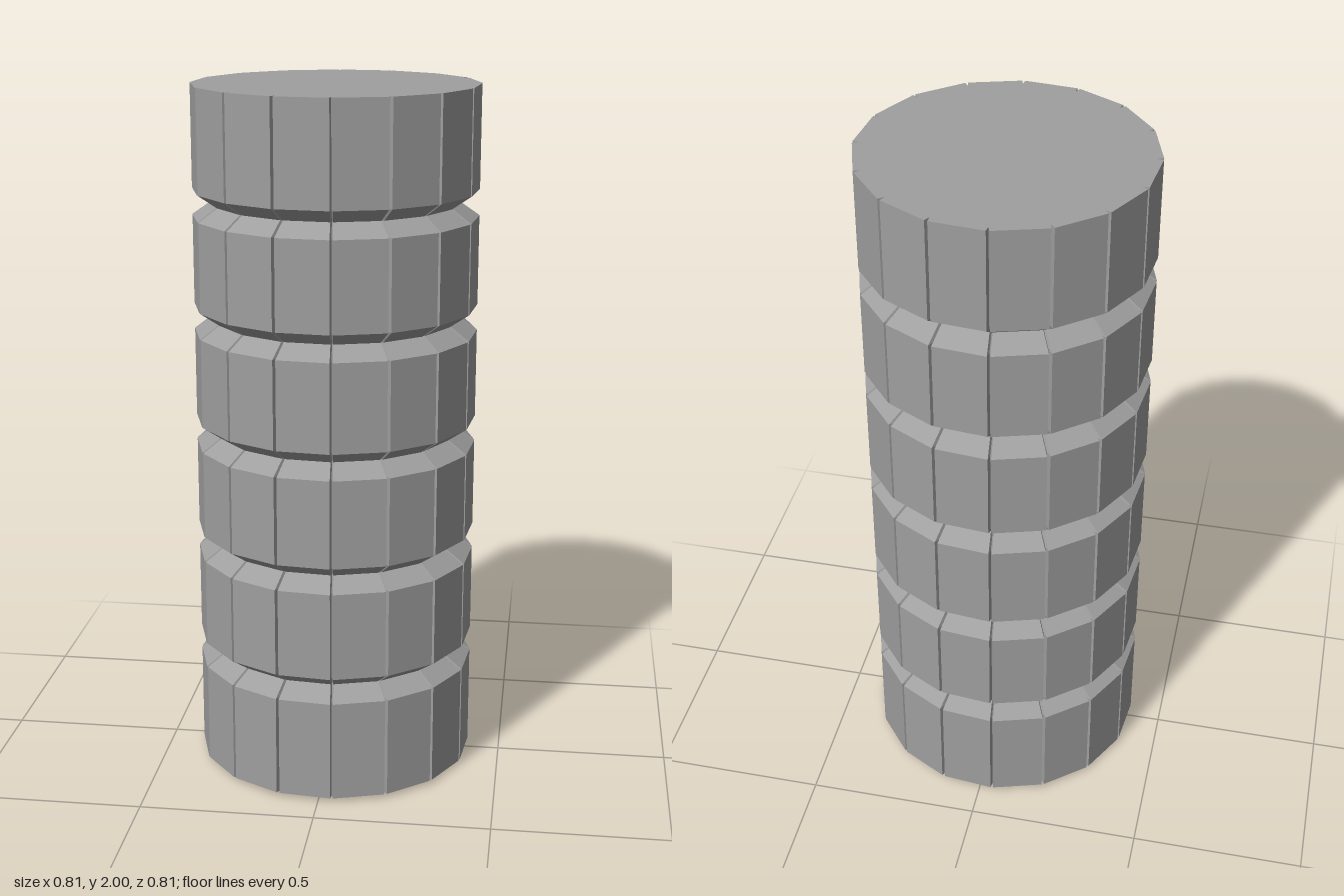
import * as THREE from 'three';

const SIDES = 16;
const RADIUS = 0.406;
const NOTCH_RADIUS = 0.387;
const NOTCH_HALF_ANGLE = 0.011;
const TURN = -Math.PI / 32;

// Cross-section: a polygon with a small V notch cut into every corner
function crossSection() {
  const points = [];
  for (let i = 0; i < SIDES; i++) {
    const a = TURN + (i / SIDES) * Math.PI * 2;
    for (const [da, r] of [[-NOTCH_HALF_ANGLE, RADIUS], [0, NOTCH_RADIUS], [NOTCH_HALF_ANGLE, RADIUS]]) {
      points.push([Math.cos(a + da) * r, Math.sin(a + da) * r]);
    }
  }
  return points;
}

// Height and scale of each ring: shallow foot, five V grooves, flat top
function ringProfile() {
  const rings = [[0, 0.85], [0.012, 1]];
  for (let i = 0; i < 5; i++) {
    const y = 0.344 + i * 0.3315;
    rings.push([y - 0.038, 1], [y, 0.865], [y + 0.038, 1]);
  }
  rings.push([2, 1]);
  return rings;
}

// Joins the scaled rings into walls and closes both ends
function columnGeometry() {
  const section = crossSection();
  const rings = ringProfile();
  const n = section.length;
  const positions = [];
  const index = [];
  for (const [y, s] of rings) {
    for (const [x, z] of section) positions.push(x * s, y, z * s);
  }
  for (let j = 0; j < rings.length - 1; j++) {
    for (let i = 0; i < n; i++) {
      const k = (i + 1) % n;
      const a = j * n + i, b = j * n + k;
      index.push(a, a + n, b + n, a, b + n, b);
    }
  }
  const bottom = positions.length / 3;
  const top = bottom + 1;
  const last = (rings.length - 1) * n;
  positions.push(0, 0, 0, 0, 2, 0);
  for (let i = 0; i < n; i++) {
    const k = (i + 1) % n;
    index.push(bottom, i, k, top, last + k, last + i);
  }
  const geometry = new THREE.BufferGeometry();
  geometry.setAttribute('position', new THREE.Float32BufferAttribute(positions, 3));
  geometry.setIndex(index);
  const flat = geometry.toNonIndexed();
  flat.computeVertexNormals();
  return flat;
}

export function createModel() {
  const group = new THREE.Group();
  group.name = 'groovedColumn';
  const material = new THREE.MeshStandardMaterial({ color: 0x9f9f9f, flatShading: true });
  const column = new THREE.Mesh(columnGeometry(), material);
  column.name = 'columnShaft';
  group.add(column);
  return group;
}
